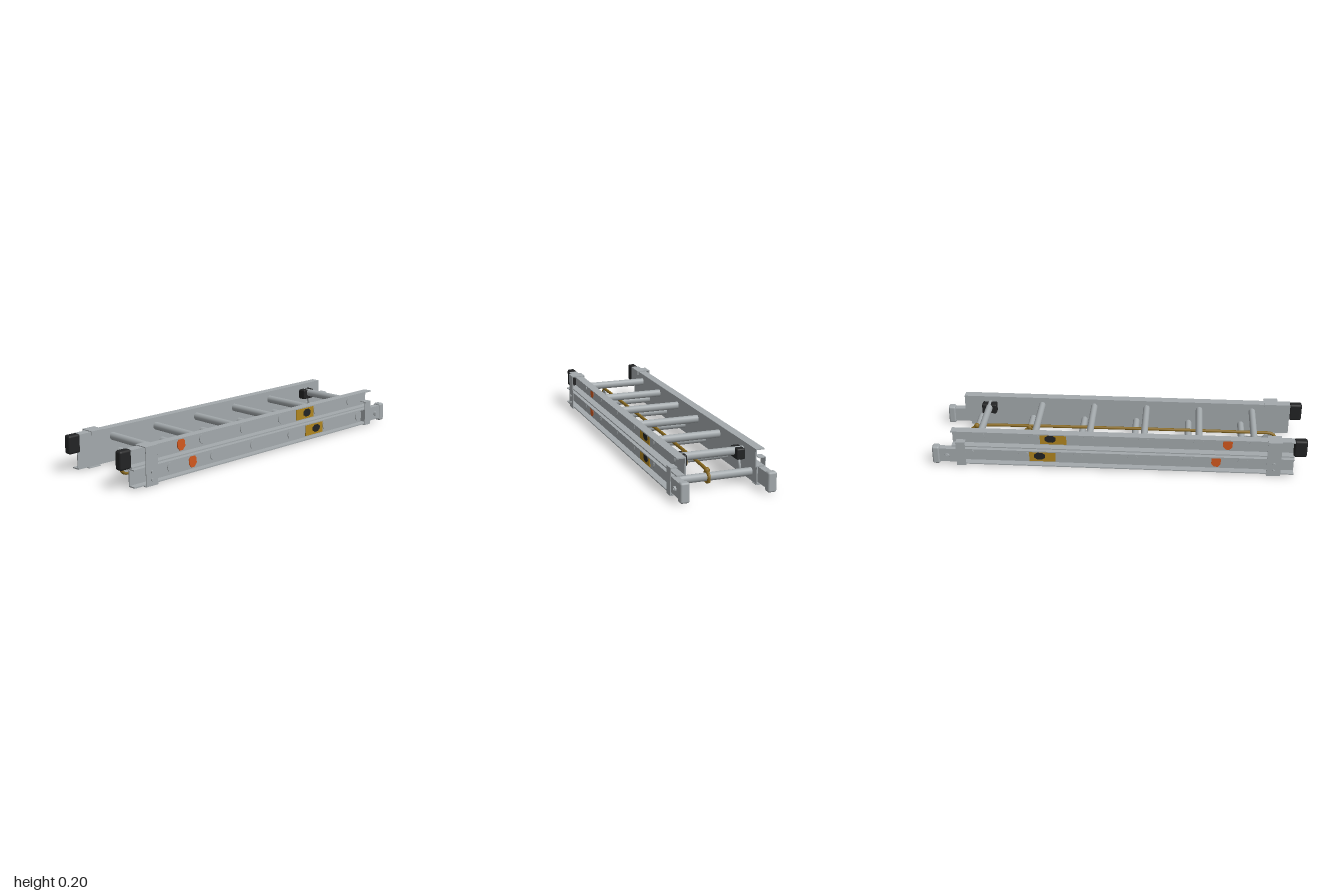
import * as THREE from 'three';
import { RoundedBoxGeometry } from 'three/addons/geometries/RoundedBoxGeometry.js';

const mat = (name, color) => {
  const m = new THREE.MeshStandardMaterial({ color });
  m.name = name;
  return m;
};

export function createModel() {
  const model = new THREE.Group();
  model.name = 'extensionLadder';
  const aluminium = mat('aluminium', 0xa3a9ac);
  const rubber = mat('blackRubber', 0x222324);
  const ropeGold = mat('ropeGold', 0x8a6a1f);
  const yellow = mat('labelYellow', 0xb0851f);
  const orange = mat('labelOrange', 0xd2581e);

  const add = (name, geo, material, x = 0, y = 0, z = 0, parent = model) => {
    const m = new THREE.Mesh(geo, material);
    m.name = name;
    m.position.set(x, y, z);
    parent.add(m);
    return m;
  };
  // box given by its limits on each axis; x limits are mirrored by s
  const span = (name, s, x, y, z, material = aluminium, radius = 0) => {
    const w = x[1] - x[0], h = y[1] - y[0], d = z[1] - z[0];
    const geo = radius ? new RoundedBoxGeometry(w, h, d, 2, radius) : new THREE.BoxGeometry(w, h, d);
    return add(name, geo, material, s * (x[0] + x[1]) / 2, (y[0] + y[1]) / 2, (z[0] + z[1]) / 2);
  };
  // disc or bolt lying along x
  const disc = (name, r, len, x, y, z, material, sides = 20) => {
    const geo = new THREE.CylinderGeometry(r, r, len, sides);
    if (sides === 8) geo.rotateY(Math.PI / 8);
    geo.rotateZ(Math.PI / 2);
    return add(name, geo, material, x, y, z);
  };

  // Channel section opening outward
  const channel = (name, s, inner, outer, y, z0, z1) => {
    const h = 0.046, t = 0.006, w = outer - inner;
    const shape = new THREE.Shape([
      [0, -h], [w, -h], [w, -h + t], [t, -h + t], [t, h - t], [w, h - t], [w, h], [0, h],
    ].map(([a, b]) => new THREE.Vector2(s > 0 ? a : -a, b)));
    const geo = new THREE.ExtrudeGeometry(shape, { depth: z1 - z0, bevelEnabled: false });
    add(name, geo, aluminium, s * inner, y, z0);
  };

  // The two ladder sections: rails, rungs and stickers
  const sections = [
    { name: 'base', y: 0.057, inner: 0.2, outer: 0.243, z: [-0.87, 0.935], rung: 0.666, orange: 0.524, warn: -0.408 },
    { name: 'fly', y: 0.153, inner: 0.18, outer: 0.227, z: [-0.895, 0.935], rung: 0.724, orange: 0.583, warn: -0.35 },
  ];
  for (const c of sections) {
    for (let i = 0; i < 6; i++) {
      const z = c.rung - i * 0.2945;
      const geo = new THREE.CylinderGeometry(0.021, 0.021, 2 * c.inner + 0.004, 20);
      geo.rotateZ(Math.PI / 2).scale(1, 1, 0.88);
      add(c.name + 'Rung', geo, aluminium, 0, c.y, z);
      for (const s of [-1, 1]) {
        disc(c.name + 'RungEnd', 0.028, 0.006, s * (c.inner + 0.0075), c.y, z, aluminium);
      }
    }
    for (const s of [-1, 1]) {
      channel(c.name + 'Rail', s, c.inner, c.outer, c.y, c.z[0], c.z[1]);
      const x = s * (c.inner + 0.008);
      disc('safetySticker', 0.034, 0.006, x, c.y, c.orange, orange, 8).scale.set(1, 1, 0.8);
      add('warningSticker', new THREE.BoxGeometry(0.006, 0.068, 0.142), yellow, x, c.y, c.warn);
      disc('warningSymbol', 0.03, 0.008, x + s * 0.001, c.y - 0.002, c.warn - 0.015, rubber, 8).scale.set(1, 0.75, 1.08);
    }
  }

  for (const s of [-1, 1]) {
    // Front guide bracket wrapping both rails
    const fz = [0.79, 0.865];
    span('guideBracketSide', s, [0.244, 0.248], [0.003, 0.204], fz);
    span('guideBracketTop', s, [0.171, 0.248], [0.2, 0.204], fz);
    span('guideBracketLip', s, [0.171, 0.175], [0.18, 0.204], fz);
    span('guideBracketBottom', s, [0.2, 0.248], [0.003, 0.007], fz);
    for (const y of [0.035, 0.075]) disc('bracketBolt', 0.008, 0.008, s * 0.251, y, 0.828, aluminium, 12);

    // Back guide bracket hooking into the upper channel
    const bz = [-0.868, -0.818];
    span('rearBracketSide', s, [0.244, 0.248], [0.005, 0.145], bz);
    span('rearBracketTop', s, [0.212, 0.248], [0.141, 0.145], bz);
    span('rearBracketBottom', s, [0.2, 0.248], [0.005, 0.009], bz);

    // Swivel foot on the base section
    span('footArm', s, [0.206, 0.242], [0.022, 0.1], [-0.965, -0.83]);
    span('footPad', s, [0.2, 0.247], [0.008, 0.11], [-1, -0.96], aluminium, 0.01);
    disc('footPivot', 0.014, 0.014, s * 0.245, 0.058, -0.92, aluminium, 12);
    disc('footPivotBolt', 0.007, 0.016, s * 0.248, 0.058, -0.92, aluminium, 6);

    // Rubber end cap on the fly section
    span('endCap', s, [0.178, 0.222], [0.105, 0.203], [0.93, 1], rubber, 0.012);

    // Rung lock with hanging hook
    span('rungLock', s, [0.13, 0.176], [0.116, 0.172], [-0.79, -0.708], rubber, 0.007);
    const hook = new THREE.CatmullRomCurve3([
      [0.12, -0.76], [0.085, -0.775], [0.05, -0.776], [0.034, -0.785], [0.033, -0.8],
    ].map(([y, z]) => new THREE.Vector3(s * 0.152, y, z)));
    add('lockHook', new THREE.TubeGeometry(hook, 16, 0.007, 8), aluminium);
  }

  // Hauling rope: upper strand, front loop and lower strand
  const rx = 0.035;
  const pts = [[0.035, -0.829], [0.07, -0.832], [0.086, -0.806], [0.095, -0.74], [0.1, -0.5], [0.104, 0.2], [0.104, 0.76]];
  for (let i = 0; i <= 8; i++) {
    const a = Math.PI / 2 - i * Math.PI / 8;
    pts.push([0.061 + 0.043 * Math.sin(a), 0.81 + 0.043 * Math.cos(a)]);
  }
  pts.push([0.018, 0.76], [0.018, 0.2], [0.02, -0.4], [0.022, -0.5], [0.04, -0.535], [0.075, -0.53], [0.088, -0.508]);
  const rope = new THREE.CatmullRomCurve3(pts.map(([y, z]) => new THREE.Vector3(rx, y, z)), false, 'centripetal');
  add('rope', new THREE.TubeGeometry(rope, 260, 0.0085, 8), ropeGold);
  for (const z of [-0.806, -0.508]) {
    add('ropeTie', new THREE.TorusGeometry(0.027, 0.008, 8, 20).rotateY(Math.PI / 2), ropeGold, rx, 0.057, z);
    add('ropeKnot', new THREE.SphereGeometry(0.015, 12, 8), ropeGold, rx, 0.09, z);
  }

  // Pulley inside the front loop
  disc('pulleyWheel', 0.036, 0.012, rx, 0.061, 0.81, aluminium, 24);
  disc('pulleyAxle', 0.008, 0.038, rx, 0.061, 0.81, aluminium, 12);
  for (const s of [-1, 1]) {
    add('pulleyCheek', new THREE.BoxGeometry(0.004, 0.024, 0.17), aluminium, rx + s * 0.012, 0.061, 0.742);
  }
  return model;
}
